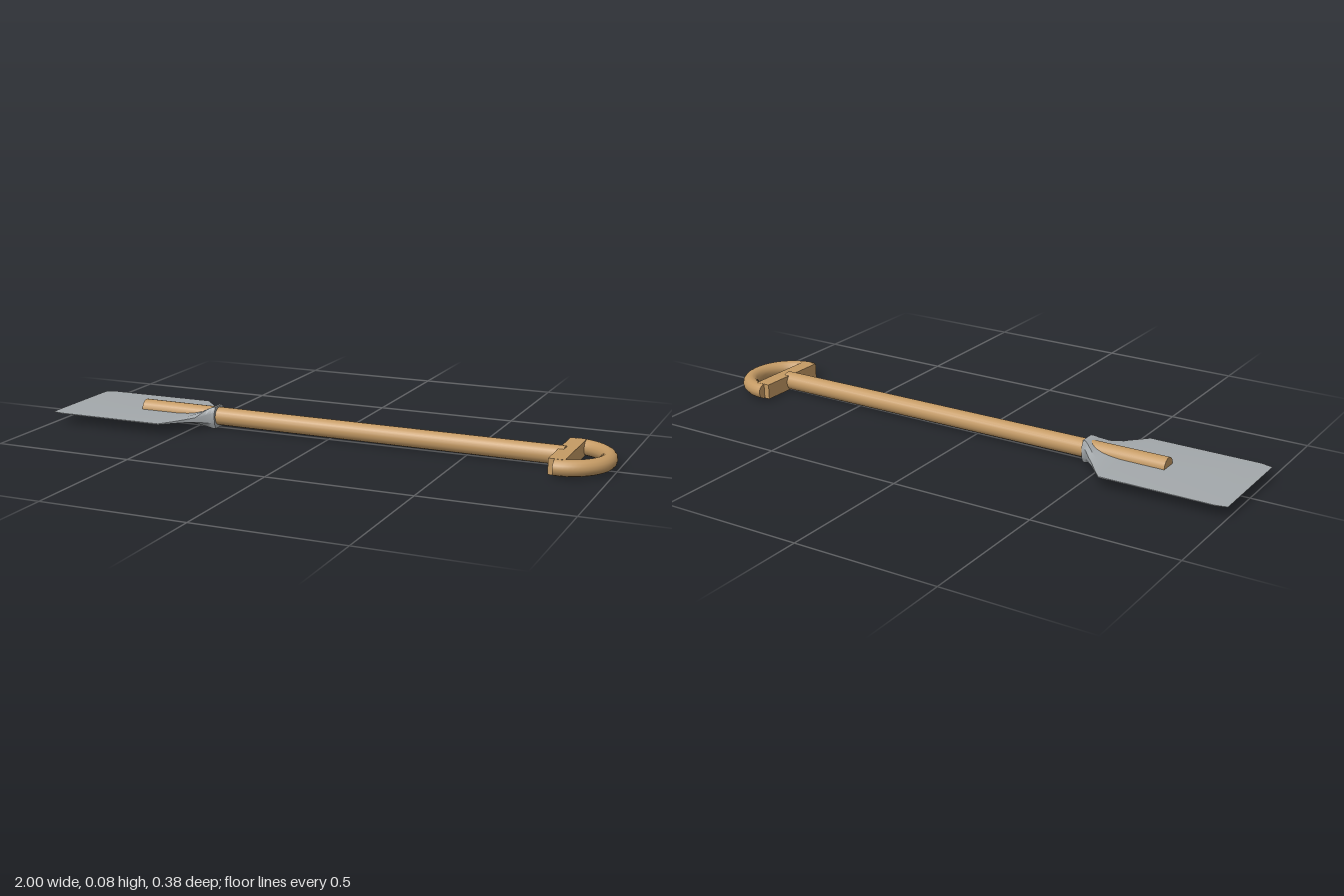
import * as THREE from 'three';
import { toCreasedNormals } from 'three/addons/utils/BufferGeometryUtils.js';

// Closed loft along x; each section is [x, halfWidth, halfHeight] with chamfered corners
function loftBlade(sections, y0) {
  const rings = sections.map(([x, w, h]) =>
    [[1, -0.45], [1, 0.45], [0.72, 1], [-0.72, 1], [-1, 0.45], [-1, -0.45], [-0.72, -1], [0.72, -1]]
      .map(([z, y]) => [x, y0 + y * h, z * w]));
  const pos = [];
  const tri = (a, b, c) => pos.push(...a, ...b, ...c);
  const n = 8;
  for (let i = 0; i < rings.length - 1; i++) {
    for (let j = 0; j < n; j++) {
      const k = (j + 1) % n;
      const a = rings[i][j], b = rings[i + 1][j], c = rings[i + 1][k], d = rings[i][k];
      tri(a, b, c);
      tri(a, c, d);
    }
  }
  const first = rings[0], last = rings[rings.length - 1];
  for (let j = 1; j < n - 1; j++) {
    tri(first[0], first[j], first[j + 1]);
    tri(last[0], last[j + 1], last[j]);
  }
  const geo = new THREE.BufferGeometry();
  geo.setAttribute('position', new THREE.Float32BufferAttribute(pos, 3));
  return toCreasedNormals(geo, 0.6);
}

export function createModel() {
  const group = new THREE.Group();
  const wood = new THREE.MeshStandardMaterial({ color: 0xc49a64 });
  wood.name = 'wood';
  const metal = new THREE.MeshStandardMaterial({ color: 0xa3a8ab });
  metal.name = 'metal';
  const add = (name, geo, mat, parent = group) => {
    const mesh = new THREE.Mesh(geo, mat);
    mesh.name = name;
    parent.add(mesh);
    return mesh;
  };

  // Thin flat blade that swells into a socket around the shaft
  add('blade', loftBlade([
    [-1, 0.178, 0.001],
    [-0.96, 0.188, 0.003],
    [-0.565, 0.188, 0.004],
    [-0.53, 0.147, 0.007],
    [-0.5, 0.11, 0.012],
    [-0.475, 0.083, 0.019],
    [-0.45, 0.055, 0.031],
    [-0.435, 0.041, 0.038],
    [-0.424, 0.037, 0.039],
  ], 0.041), metal);

  // Round shaft, running slightly downhill to the grip
  const shaft = add('shaft', new THREE.CylinderGeometry(0.032, 0.032, 1.55, 20), wood);
  shaft.rotation.z = -Math.PI / 2 - 0.0045;
  shaft.position.set(0.055, 0.0405, -0.002);

  // D-shaped grip: crossbar and half ring with capped ends
  const grip = new THREE.Group();
  grip.name = 'grip';
  grip.position.set(0.832, 0.035, 0);
  grip.rotation.z = -0.01;
  group.add(grip);

  const bar = add('gripCrossbar', new THREE.BoxGeometry(0.054, 0.054, 0.276), wood, grip);
  bar.position.x = 0.006;

  const ringRadius = 0.139, tube = 0.027;
  const arc = new THREE.TorusGeometry(ringRadius, tube, 14, 32, Math.PI);
  arc.rotateZ(-Math.PI / 2).rotateX(Math.PI / 2);
  add('gripArc', arc, wood, grip);
  for (const side of [-1, 1]) {
    const cap = new THREE.CircleGeometry(tube, 14).rotateY(-Math.PI / 2);
    add('gripArcEnd', cap, wood, grip).position.z = side * ringRadius;
  }
  return group;
}
